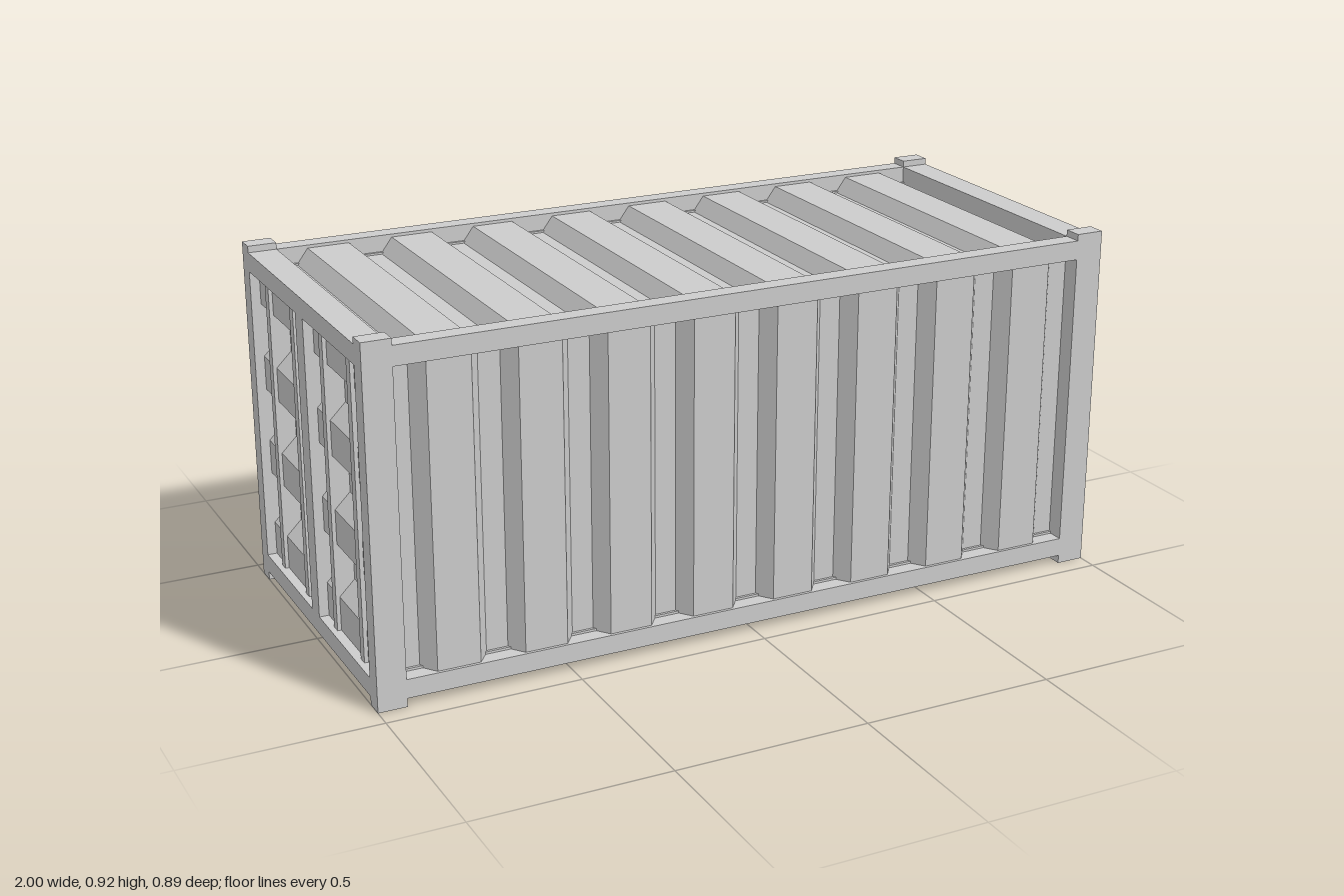
import * as THREE from 'three';

const material = new THREE.MeshStandardMaterial({ color: 0xcccccc, flatShading: true });

// Solid corrugated sheet: ridges run along z and rise towards +y
function corrugated({ count, pitch, top, base, rise, half, width }) {
  const shape = new THREE.Shape();
  shape.moveTo(-half, -0.008);
  shape.lineTo(half, -0.008);
  shape.lineTo(half, 0);
  for (let i = count - 1; i >= 0; i--) {
    const c = (i - (count - 1) / 2) * pitch;
    shape.lineTo(c + base, 0);
    shape.lineTo(c + top, rise);
    shape.lineTo(c - top, rise);
    shape.lineTo(c - base, 0);
  }
  shape.lineTo(-half, 0);
  shape.closePath();
  const geometry = new THREE.ExtrudeGeometry(shape, { depth: width, bevelEnabled: false });
  return geometry.translate(0, 0, -width / 2);
}

export function createModel() {
  const model = new THREE.Group();
  model.name = 'shippingContainer';

  const add = (name, geometry) => {
    const mesh = new THREE.Mesh(geometry, material);
    mesh.name = name;
    model.add(mesh);
    return mesh;
  };
  // Box given by its limits on each axis
  const box = (name, x0, x1, y0, y1, z0, z1) =>
    add(name, new THREE.BoxGeometry(x1 - x0, y1 - y0, z1 - z0)
      .translate((x0 + x1) / 2, (y0 + y1) / 2, (z0 + z1) / 2));
  // Same box, mirrored to the sides given by sx and sz
  const mirrored = (name, sx, sz, x0, x1, y0, y1, z0, z1) =>
    box(name, Math.min(sx * x0, sx * x1), Math.max(sx * x0, sx * x1), y0, y1,
      Math.min(sz * z0, sz * z1), Math.max(sz * z0, sz * z1));

  const X = 1, XI = 0.926, Z = 0.446, ZI = 0.397;
  const railHeights = { bottom: [0.022, 0.071], top: [0.848, 0.898] };

  // Corner posts, standing slightly proud of the rails above and below
  for (const sx of [1, -1]) for (const sz of [1, -1])
    mirrored('cornerPost', sx, sz, XI, X, 0, 0.915, ZI, Z);

  // Frame rails along the sides and across the ends
  for (const [level, [y0, y1]] of Object.entries(railHeights)) for (const s of [1, -1]) {
    mirrored(level + 'SideRail', 1, s, -XI, XI, y0, y1, ZI, Z);
    mirrored(level + 'EndRail', s, 1, XI, X, y0, y1, -ZI, ZI);
  }

  // Long panels: sides, roof and floor
  const long = { count: 8, pitch: 0.2257, top: 0.055, base: 0.085, rise: 0.04, half: 0.93 };
  const side = { ...long, width: 0.79 };
  const deck = { ...long, width: 0.81 };
  add('frontPanel', corrugated(side).rotateX(Math.PI / 2).translate(0, 0.46, 0.398));
  add('backPanel', corrugated(side).rotateX(-Math.PI / 2).translate(0, 0.46, -0.398));
  add('roof', corrugated(deck).translate(0, 0.85, 0));
  add('floor', corrugated(deck).rotateX(Math.PI).translate(0, 0.069, 0));

  // Door ends: corrugated panel, centre post and lock bars
  const end = { count: 4, pitch: 0.23, top: 0.045, base: 0.085, rise: 0.04, half: 0.432, width: 0.8 };
  for (const s of [1, -1]) {
    add('doorPanel', corrugated(end).rotateZ(-s * Math.PI / 2).translate(s * 0.935, 0.46, 0));
    mirrored('doorCentrePost', s, 1, XI, X, 0.071, 0.848, -0.028, 0.028);
    for (const sz of [1, -1]) for (const z of [0.11, 0.306])
      mirrored('lockBar', s, sz, 0.93, 0.985, 0.071, 0.848, z - 0.013, z + 0.013);
  }
  return model;
}
